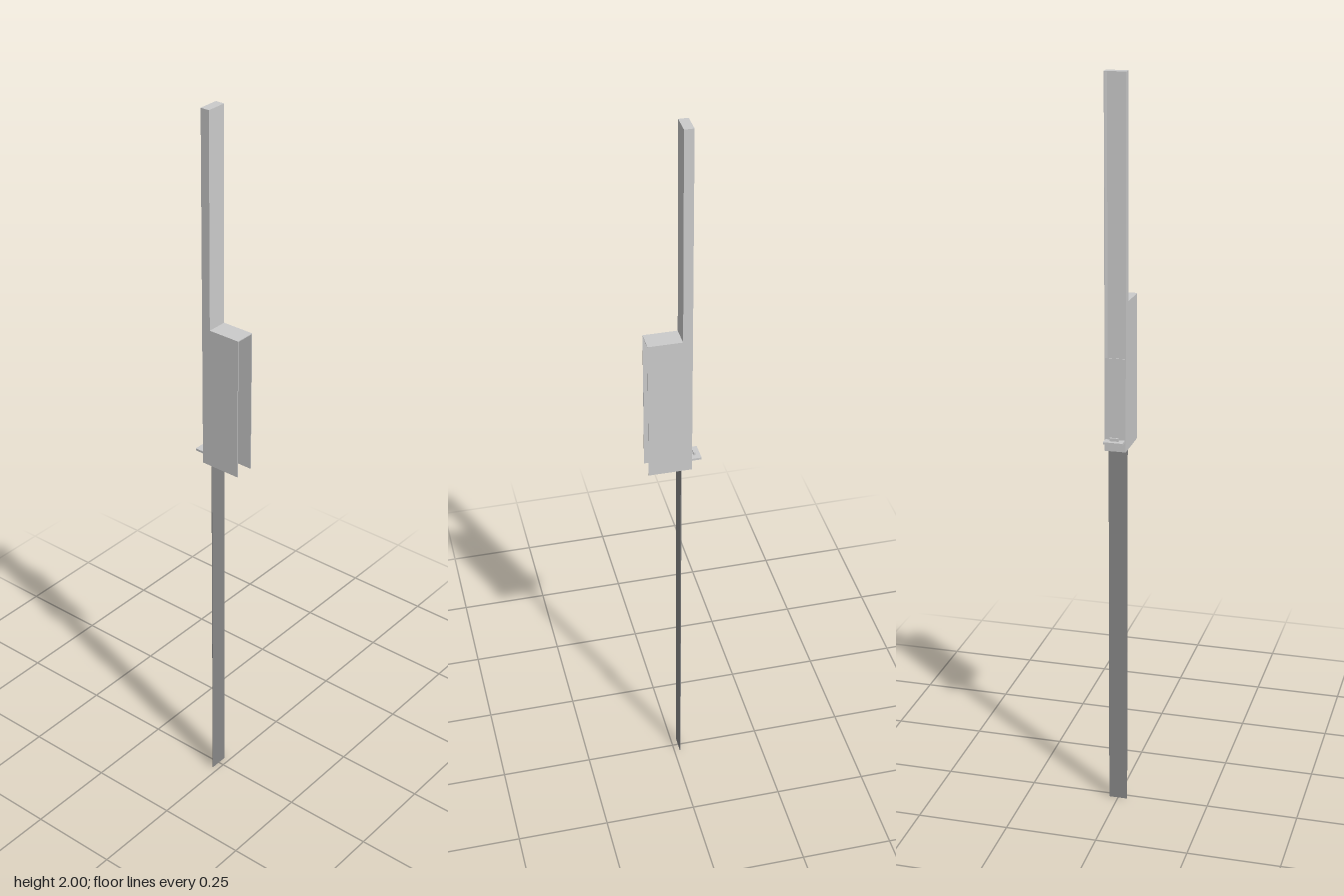
import * as THREE from 'three';

const T = 0.002; // sheet thickness
const grey = new THREE.MeshStandardMaterial({ color: 0xcccccc, side: THREE.DoubleSide });
const dark = new THREE.MeshStandardMaterial({ color: 0x888888, side: THREE.DoubleSide });

// Box given by its limits on each axis
function block(name, [x0, x1], [y0, y1], [z0, z1], material = grey) {
  const mesh = new THREE.Mesh(new THREE.BoxGeometry(x1 - x0, y1 - y0, z1 - z0), material);
  mesh.position.set((x0 + x1) / 2, (y0 + y1) / 2, (z0 + z1) / 2);
  mesh.name = name;
  return mesh;
}

export function createModel() {
  const group = new THREE.Group();
  group.name = 'slidingLatch';
  const W = 0.028, bottom = 1.03, boxTop = 1.425, top = 2;
  const back = -0.045, web = -0.02, front = 0.07;

  // Long channel, open to the back, with an arched notch at the foot of its web
  const outline = new THREE.Shape();
  outline.moveTo(-W, bottom);
  outline.lineTo(-0.008, bottom);
  outline.lineTo(-0.008, 1.062);
  outline.absarc(0, 1.062, 0.008, Math.PI, 0, true);
  outline.lineTo(0.008, bottom);
  outline.lineTo(W, bottom);
  outline.lineTo(W, top);
  outline.lineTo(-W, top);
  outline.closePath();
  const webMesh = new THREE.Mesh(
    new THREE.ExtrudeGeometry(outline, { depth: T, bevelEnabled: false, curveSegments: 8 }), grey);
  webMesh.position.z = web - T;
  webMesh.name = 'channelWeb';
  group.add(webMesh);

  // Side walls of the channel and of the front housing
  for (const [side, label] of [[1, 'left'], [-1, 'right']]) {
    const x = side > 0 ? [W - T, W] : [-W, -W + T];
    group.add(block(label + 'ChannelWall', x, [bottom, top], [back, web - T]));
    group.add(block(label + 'HousingWall', x, [bottom, boxTop], [web, front]));
  }

  // Caps and the short cover over the lower back
  group.add(block('channelCap', [-W + T, W - T], [top - T, top], [back, web - T]));
  group.add(block('housingCap', [-W + T, W - T], [boxTop - T, boxTop], [web, front]));
  group.add(block('backCover', [-W + T, W - T], [bottom, 1.28], [back, back + T]));

  // Thin dark strip hanging below
  group.add(block('strip', [-0.026, 0.025], [0, 1.035], [-0.018, -0.016], dark));

  // Thumb tab with its raised rib and the stem through the cover
  group.add(block('thumbTab', [-0.026, 0.026], [1.056, 1.062], [-0.071, back]));
  group.add(block('tabRib', [-0.012, 0.012], [1.048, 1.07], [-0.058, -0.053]));
  group.add(block('tabStem', [-0.006, 0.006], [1.052, 1.066], [-0.053, web]));
  return group;
}
